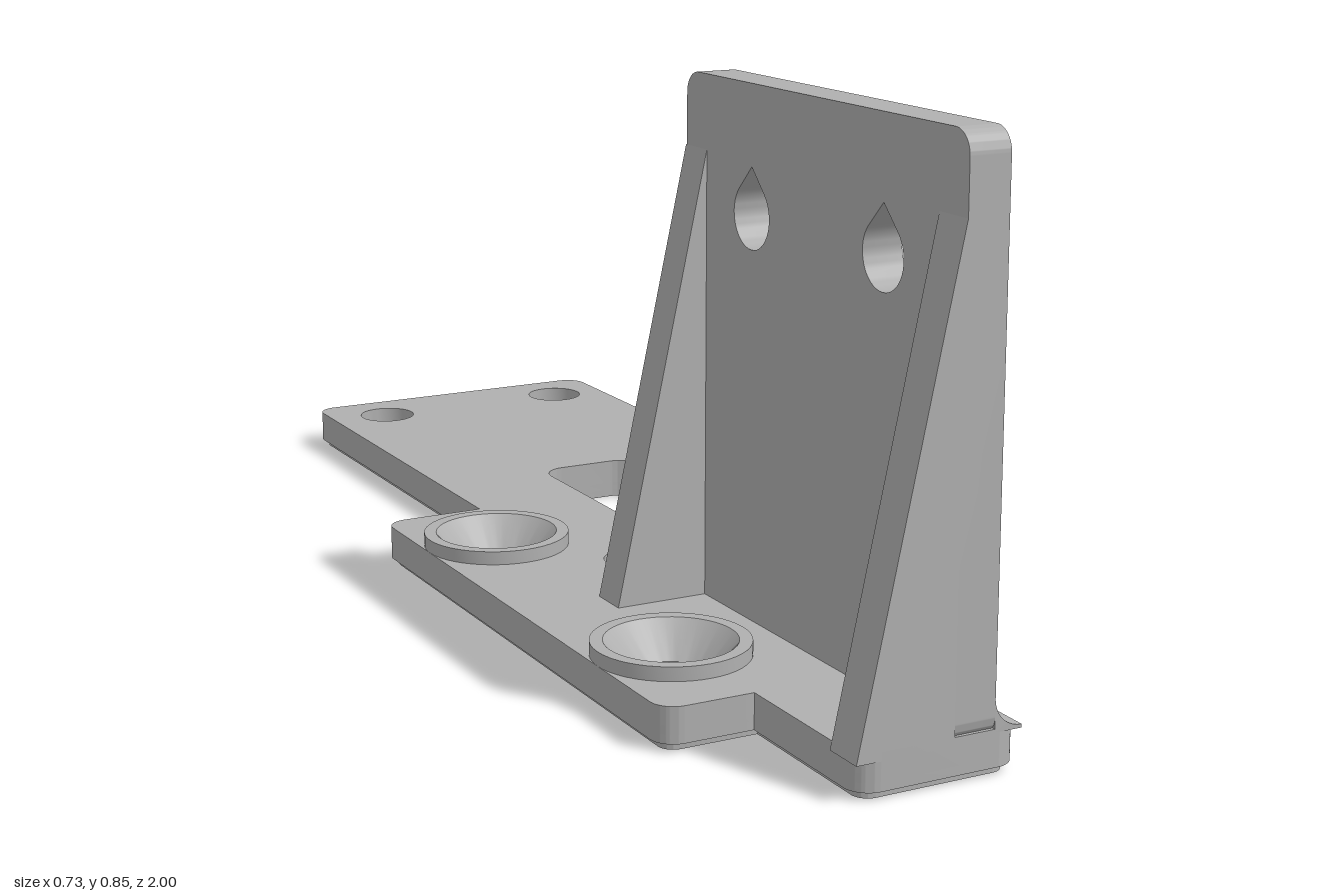
import * as THREE from 'three';
import { toCreasedNormals } from 'three/addons/utils/BufferGeometryUtils.js';

// Closed path through counter-clockwise corners; convex corners rounded by r
function roundedPath(pts, r, PathType = THREE.Shape) {
  const path = new PathType();
  const n = pts.length;
  pts.forEach((p, i) => {
    const a = pts[(i + n - 1) % n], b = pts[(i + 1) % n];
    const din = p.clone().sub(a).normalize(), dout = b.clone().sub(p).normalize();
    const rad = din.cross(dout) > 0 ? r : 0;
    const s = p.clone().addScaledVector(din, -rad), e = p.clone().addScaledVector(dout, rad);
    if (i === 0) path.moveTo(s.x, s.y); else path.lineTo(s.x, s.y);
    if (rad > 0) {
      const c = s.clone().add(e).sub(p);
      const a0 = Math.atan2(s.y - c.y, s.x - c.x);
      path.absarc(c.x, c.y, rad, a0, a0 + Math.PI / 2, false);
    }
  });
  path.closePath();
  return path;
}

// Shrinks a right-angled counter-clockwise outline by d
function inset(pts, d) {
  const n = pts.length;
  return pts.map((p, i) => {
    const din = p.clone().sub(pts[(i + n - 1) % n]).normalize();
    const dout = pts[(i + 1) % n].clone().sub(p).normalize();
    return p.clone().add(new THREE.Vector2(-din.y - dout.y, din.x + dout.x).multiplyScalar(d));
  });
}

const rect = (x0, y0, x1, y1) =>
  [[x0, y0], [x1, y0], [x1, y1], [x0, y1]].map(([x, y]) => new THREE.Vector2(x, y));

function circle(x, y, r) {
  return new THREE.Path().absarc(x, y, r, 0, Math.PI * 2, true);
}

function extrude(shape, depth) {
  return new THREE.ExtrudeGeometry(shape, { depth, bevelEnabled: false, curveSegments: 16 });
}

export function createModel() {
  const group = new THREE.Group();
  const grey = new THREE.MeshStandardMaterial({ color: 0xb0b0b0 });
  grey.name = 'plain grey';

  const add = (name, geometry, parent = group) => {
    const mesh = new THREE.Mesh(toCreasedNormals(geometry, 0.5), grey);
    mesh.name = name;
    parent.add(mesh);
    return mesh;
  };

  // Base plate outline in x and -z
  const outline = [
    [0.36, 1], [-0.195, 1], [-0.195, 0.23], [-0.365, 0.23], [-0.365, -0.74], [-0.225, -0.74],
    [-0.225, -1], [0.024, -1], [0.024, -0.27], [0.36, -0.27],
  ].map(([x, y]) => new THREE.Vector2(x, y));
  const boltHoles = [[-0.09, 0.9], [0.265, 0.9], [-0.09, -0.135], [0.265, -0.135]];
  const screws = [[-0.25, 0.04], [-0.25, -0.55]];

  // Layers: inset foot, counterbored middle, top
  const base = new THREE.Group();
  base.name = 'basePlate';
  group.add(base);
  const layers = [
    ['plateFoot', 0, 0.012, 0.012, 0.073],
    ['plateCounterbore', 0.012, 0.025, 0, 0.073],
    ['plateTop', 0.025, 0.065, 0, 0.05],
  ];
  for (const [name, y0, y1, shrink, holeR] of layers) {
    const shape = roundedPath(inset(outline, shrink), 0.035 - shrink);
    for (const [x, y] of boltHoles) shape.holes.push(circle(x, y, holeR));
    for (const [x, y] of screws) shape.holes.push(circle(x, y, 0.097));
    shape.holes.push(roundedPath(rect(0, 0.08, 0.175, 0.4), 0.04, THREE.Path));
    const g = extrude(shape, y1 - y0);
    g.rotateX(-Math.PI / 2);
    g.translate(0, y0, 0);
    add(name, g, base);
  }

  // Raised countersunk screw seats
  const seatProfile = [
    [0.05, 0], [0.097, 0], [0.097, 0.06], [0.115, 0.06], [0.115, 0.086],
    [0.096, 0.086], [0.05, 0.035], [0.05, 0],
  ].map(([r, y]) => new THREE.Vector2(r, y));
  screws.forEach(([x, y]) => {
    add('screwSeat', new THREE.LatheGeometry(seatProfile, 48)).position.set(x, 0, -y);
  });

  // Upright wall with teardrop holes, drawn in z and y
  const wall = roundedPath(rect(0.28, 0.05, 1, 0.847), 0.033);
  for (const z of [0.47, 0.81]) {
    const r = 0.049, y = 0.66;
    const drop = new THREE.Path();
    drop.absarc(z, y, r, Math.PI * 0.75, Math.PI * 2.25, false);
    drop.lineTo(z, y + r * Math.SQRT2);
    drop.closePath();
    wall.holes.push(drop);
  }
  const wallGeometry = extrude(wall, 0.062);
  wallGeometry.rotateY(-Math.PI / 2);
  wallGeometry.translate(-0.018, 0, 0);
  add('uprightWall', wallGeometry);

  // Sloping gussets behind both ends of the wall
  const gusset = new THREE.Shape();
  gusset.moveTo(-0.228, 0.053);
  gusset.lineTo(-0.08, 0.053);
  gusset.lineTo(-0.08, 0.737);
  gusset.closePath();
  for (const z of [0.277, 0.937]) {
    add('gusset', extrude(gusset, 0.063)).position.z = z;
  }

  // Concave fillet along the foot of the wall
  const fillet = new THREE.Shape();
  fillet.moveTo(-0.018, 0.06);
  fillet.lineTo(0.024, 0.06);
  fillet.lineTo(0.024, 0.065);
  fillet.absarc(0.024, 0.107, 0.042, Math.PI * 1.5, Math.PI, true);
  fillet.closePath();
  add('wallFillet', extrude(fillet, 0.72)).position.z = 0.28;

  return group;
}
